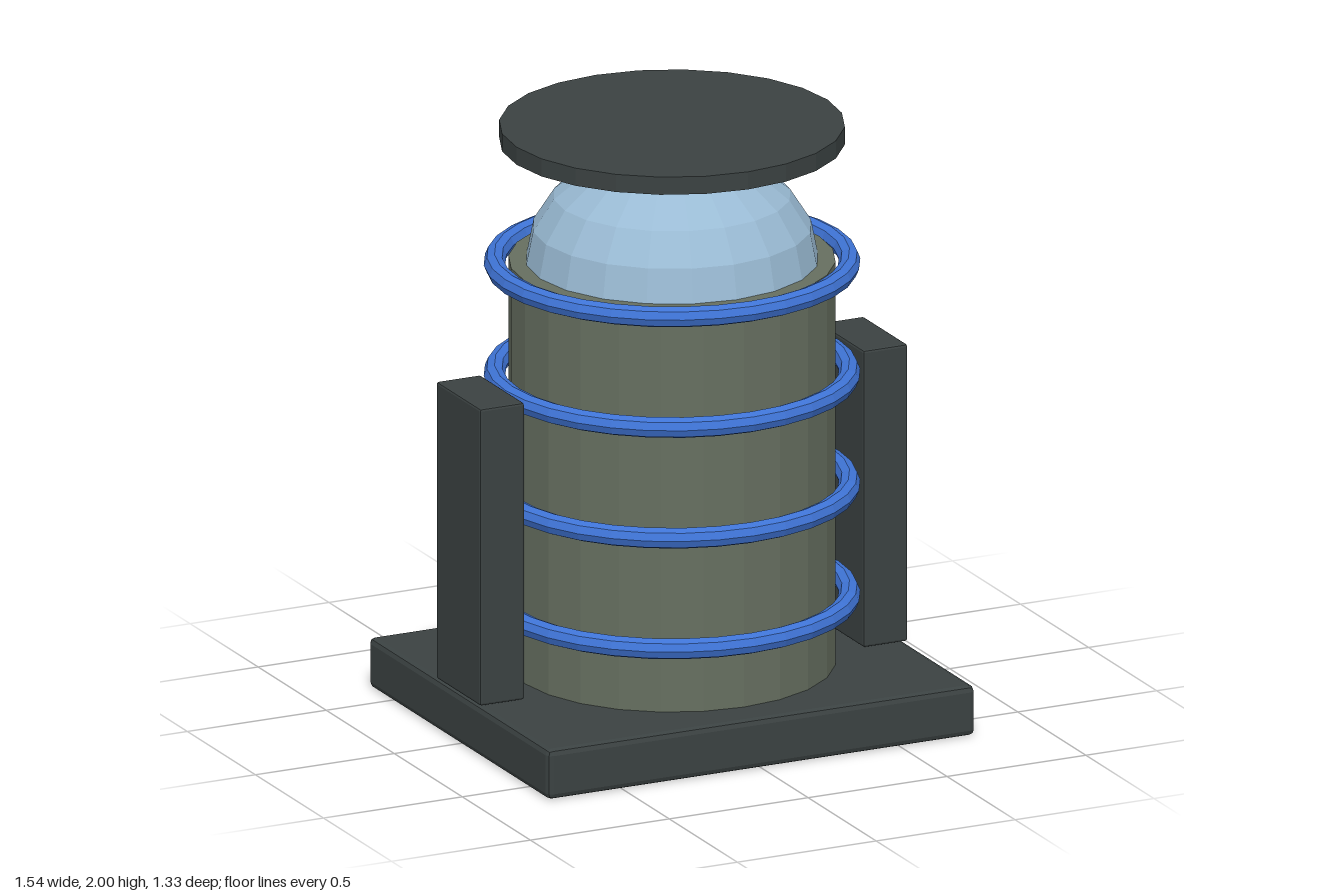
import * as THREE from 'three';
import { RoundedBoxGeometry } from 'three/addons/geometries/RoundedBoxGeometry.js';

const paint = (name, color) => {
  const m = new THREE.MeshStandardMaterial({ color, flatShading: true });
  m.name = name;
  return m;
};

export function createModel() {
  const model = new THREE.Group();
  model.name = 'reactorTank';

  const darkMetal = paint('dark metal', 0x3b4242);
  const olive = paint('olive grey', 0x666f60);
  const glass = paint('pale blue glass', 0x9abbd4);
  const blue = paint('coil blue', 0x3f74d6);

  const add = (name, geometry, material, x, y, z) => {
    const mesh = new THREE.Mesh(geometry, material);
    mesh.name = name;
    mesh.position.set(x, y, z);
    model.add(mesh);
    return mesh;
  };
  // box with chamfered edges
  const chamferBox = (w, h, d, bevel) => new RoundedBoxGeometry(w, h, d, 1, bevel);

  // base plate and main tank
  add('base', chamferBox(1.54, 0.17, 1.325, 0.02), darkMetal, 0, 0.085, 0);
  add('tank', new THREE.CylinderGeometry(0.53, 0.53, 1.37, 24), olive, 0, 0.855, 0);

  // flattened glass dome and the lid floating above it
  const dome = new THREE.SphereGeometry(0.477, 20, 5, 0, Math.PI * 2, 0, Math.PI / 2);
  dome.scale(1, 0.797, 1);
  add('dome', dome, glass, 0, 1.535, 0);
  add('lid', new THREE.CylinderGeometry(0.56, 0.56, 0.06, 24), darkMetal, 0, 1.97, 0);

  // coil rings around the tank
  const ring = new THREE.TorusGeometry(0.575, 0.035, 8, 32);
  ring.rotateX(Math.PI / 2);
  for (let i = 0; i < 4; i++) add('coilRing', ring, blue, 0, 0.4 + i * 0.3765, 0);

  // side pillars, each with a small knob on the back
  const pillar = chamferBox(0.16, 1.01, 0.326, 0.008);
  const knob = new THREE.CylinderGeometry(0.013, 0.013, 0.03, 8);
  knob.rotateX(Math.PI / 2);
  for (const side of [-1, 1]) {
    add('pillar', pillar, darkMetal, side * 0.69, 0.68, 0);
    add('pillarKnob', knob, olive, side * 0.69, 0.915, -0.173);
  }

  // control panel on the back with its screen
  add('controlPanel', chamferBox(0.3, 0.22, 0.054, 0.01), darkMetal, 0, 0.568, -0.551);
  add('panelScreen', new THREE.BoxGeometry(0.24, 0.16, 0.009), blue, 0, 0.568, -0.5815);

  return model;
}
